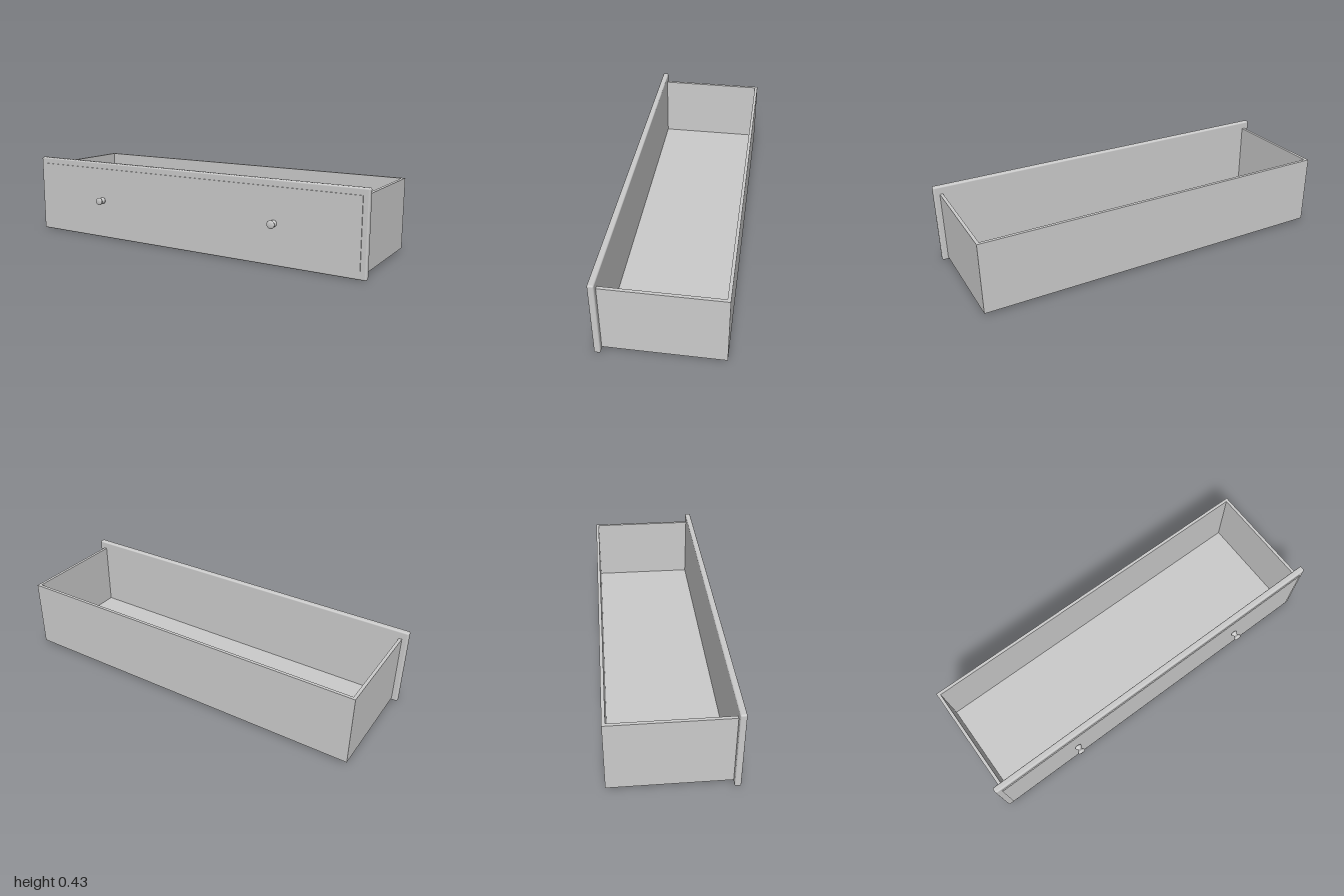
import * as THREE from 'three';
import { RoundedBoxGeometry } from 'three/addons/geometries/RoundedBoxGeometry.js';

export function createModel() {
  const group = new THREE.Group();
  const material = new THREE.MeshStandardMaterial({ color: 0xcccccc });

  const add = (name, geometry, x, y, z) => {
    const mesh = new THREE.Mesh(geometry, material);
    mesh.name = name;
    mesh.position.set(x, y, z);
    group.add(mesh);
    return mesh;
  };

  // Box defined by its low and high corners
  const board = (name, [x0, y0, z0], [x1, y1, z1]) =>
    add(name, new THREE.BoxGeometry(x1 - x0, y1 - y0, z1 - z0),
      (x0 + x1) / 2, (y0 + y1) / 2, (z0 + z1) / 2);

  // Open tray
  const w = 0.97, t = 0.016, bottom = 0.0125, top = 0.384, back = -0.332, front = 0.254;
  board('bottomBoard', [-w + t, bottom, back + t], [w - t, bottom + t, front]);
  board('backBoard', [-w + t, bottom, back], [w - t, top, back + t]);
  board('rightSideBoard', [-w, bottom, back], [-w + t, top, front]);
  board('leftSideBoard', [w - t, bottom, back], [w, top, front]);

  // Rounded front with a thin raised field
  add('frontPanel', new RoundedBoxGeometry(2, 0.425, 0.031, 4, 0.008), 0, 0.2125, 0.2685);
  board('raisedField', [-w, 0.033, 0.28], [w, 0.391, 0.289]);

  // Turned knobs: foot, narrow neck, flared head with a slightly domed face
  const profile = [
    [0, 0], [0.016, 0], [0.0175, 0.005], [0.017, 0.009], [0.0135, 0.014], [0.0105, 0.019],
    [0.012, 0.023], [0.016, 0.028], [0.0205, 0.033], [0.021, 0.036], [0.0195, 0.039],
    [0.017, 0.042], [0.009, 0.0435], [0, 0.044],
  ].map(([r, h]) => new THREE.Vector2(r, h));
  const knobGeometry = new THREE.LatheGeometry(profile, 32);
  for (const side of [-1, 1]) {
    const knob = add(side < 0 ? 'rightKnob' : 'leftKnob', knobGeometry, side * 0.533, 0.2125, 0.288);
    knob.rotation.x = Math.PI / 2;
  }

  return group;
}
